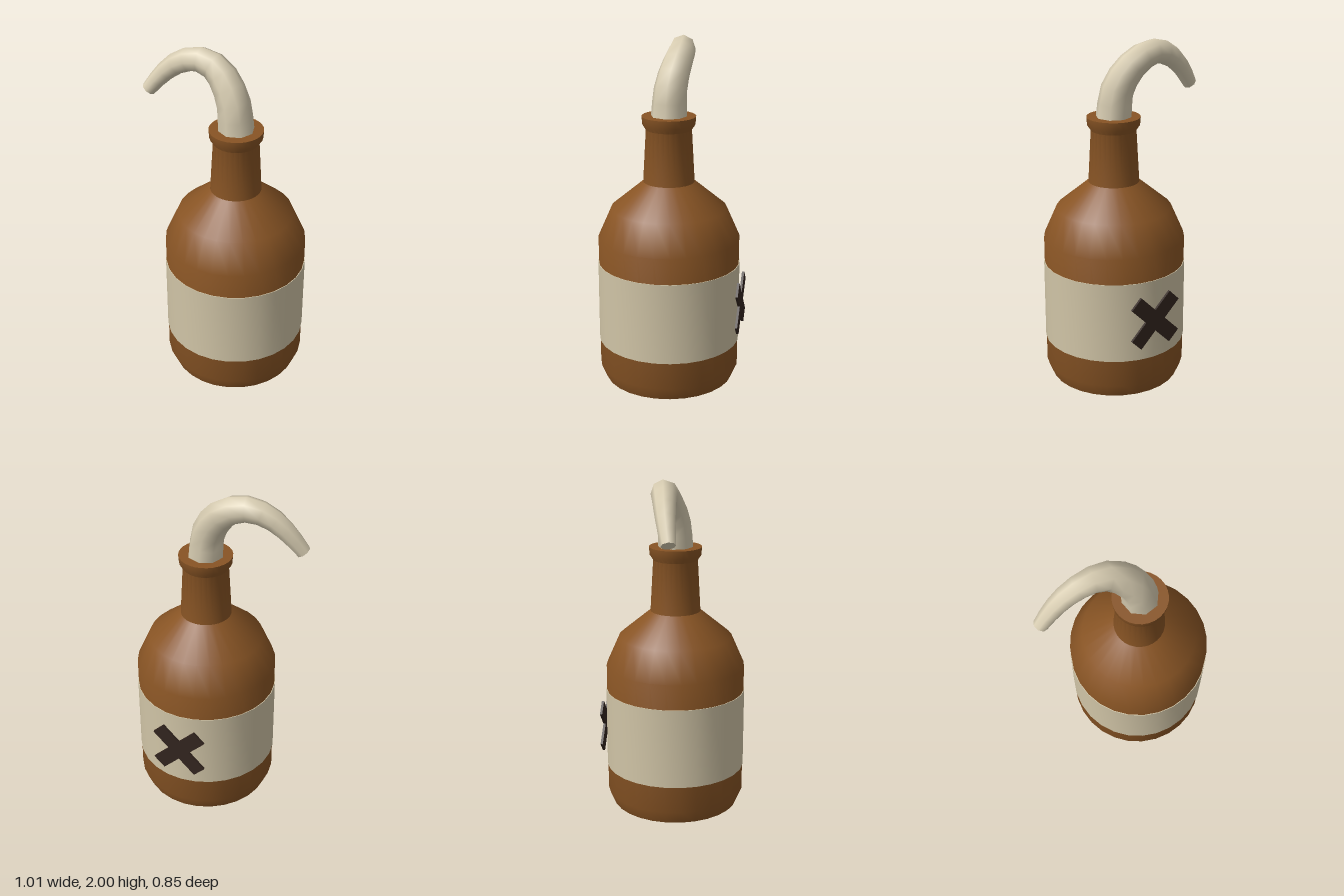
import * as THREE from 'three';
import { toCreasedNormals } from 'three/addons/utils/BufferGeometryUtils.js';

const SIDES = 28;

export function createModel() {
  const brown = new THREE.MeshStandardMaterial({ name: 'brown glass', color: 0x885424 });
  const paper = new THREE.MeshStandardMaterial({ name: 'label paper', color: 0xd0c4a6 });
  const cloth = new THREE.MeshStandardMaterial({ name: 'pale rag', color: 0xd8cdb2 });
  const dark = new THREE.MeshStandardMaterial({ name: 'dark mark', color: 0x33251f });

  const model = new THREE.Group();
  model.name = 'bottle with rag';
  const bottle = new THREE.Group();
  bottle.name = 'bottle';
  bottle.position.set(0.09, 0, 0.007);
  model.add(bottle);

  const add = (parent, name, geometry, material) => {
    const mesh = new THREE.Mesh(geometry, material);
    mesh.name = name;
    parent.add(mesh);
    return mesh;
  };
  const lathe = (points) => toCreasedNormals(
    new THREE.LatheGeometry(points.map(([r, y]) => new THREE.Vector2(r, y)), SIDES), 0.65);

  // Body, shoulder, neck and lip in one turned profile
  add(bottle, 'glassBody', lathe([
    [0, 0], [0.378, 0], [0.412, 0.08], [0.412, 0.87], [0.335, 1.045], [0.148, 1.2],
    [0.131, 1.505], [0.151, 1.535], [0.155, 1.582], [0, 1.582],
  ]), brown);

  // Paper band around the body
  add(bottle, 'label', lathe([[0.411, 0.24], [0.416, 0.24], [0.416, 0.718], [0.411, 0.718]]), paper);

  // Crossed bars on the back of the label
  const cross = new THREE.Group();
  cross.name = 'crossMark';
  cross.position.set(0, 0.48, -0.428);
  bottle.add(cross);
  for (const side of [-1, 1]) {
    const bar = add(cross, 'crossBar', new THREE.BoxGeometry(0.362, 0.09, 0.014), dark);
    bar.rotation.z = side * Math.PI / 4;
  }

  // Tapered rag curling out of the neck
  const path = new THREE.CatmullRomCurve3([
    [0.09, 1.57, 0.007], [0.07, 1.73, 0.002], [0.015, 1.83, -0.013], [-0.06, 1.9, -0.028],
    [-0.165, 1.93, -0.022], [-0.26, 1.907, -0.006], [-0.335, 1.858, 0.008],
    [-0.405, 1.785, 0.026], [-0.47, 1.698, 0.047],
  ].map((p) => new THREE.Vector3(...p)));
  const rings = 11, facets = 8;
  const radiusAt = (u) => 0.104 - 0.062 * Math.pow(u, 1.2);
  const tube = new THREE.TubeGeometry(path, rings, 1, facets);
  const pos = tube.attributes.position;
  const v = new THREE.Vector3();
  for (let i = 0; i < pos.count; i++) {
    const u = Math.floor(i / (facets + 1)) / rings;
    const centre = path.getPointAt(u);
    v.fromBufferAttribute(pos, i).sub(centre).multiplyScalar(radiusAt(u)).add(centre);
    pos.setXYZ(i, v.x, v.y, v.z);
  }
  add(model, 'rag', tube, cloth);

  // Flat end of the rag, built from the last ring
  const ring = [];
  for (let j = 0; j < facets; j++) {
    ring.push(new THREE.Vector3().fromBufferAttribute(pos, rings * (facets + 1) + j));
  }
  const tip = path.getPointAt(1);
  const tangent = path.getTangentAt(1);
  const corners = [];
  ring.forEach((a, j) => {
    const b = ring[(j + 1) % facets];
    const n = a.clone().sub(tip).cross(b.clone().sub(tip));
    corners.push(tip, ...(n.dot(tangent) > 0 ? [a, b] : [b, a]));
  });
  const cap = new THREE.BufferGeometry().setFromPoints(corners);
  cap.computeVertexNormals();
  add(model, 'ragEnd', cap, cloth);

  return model;
}
